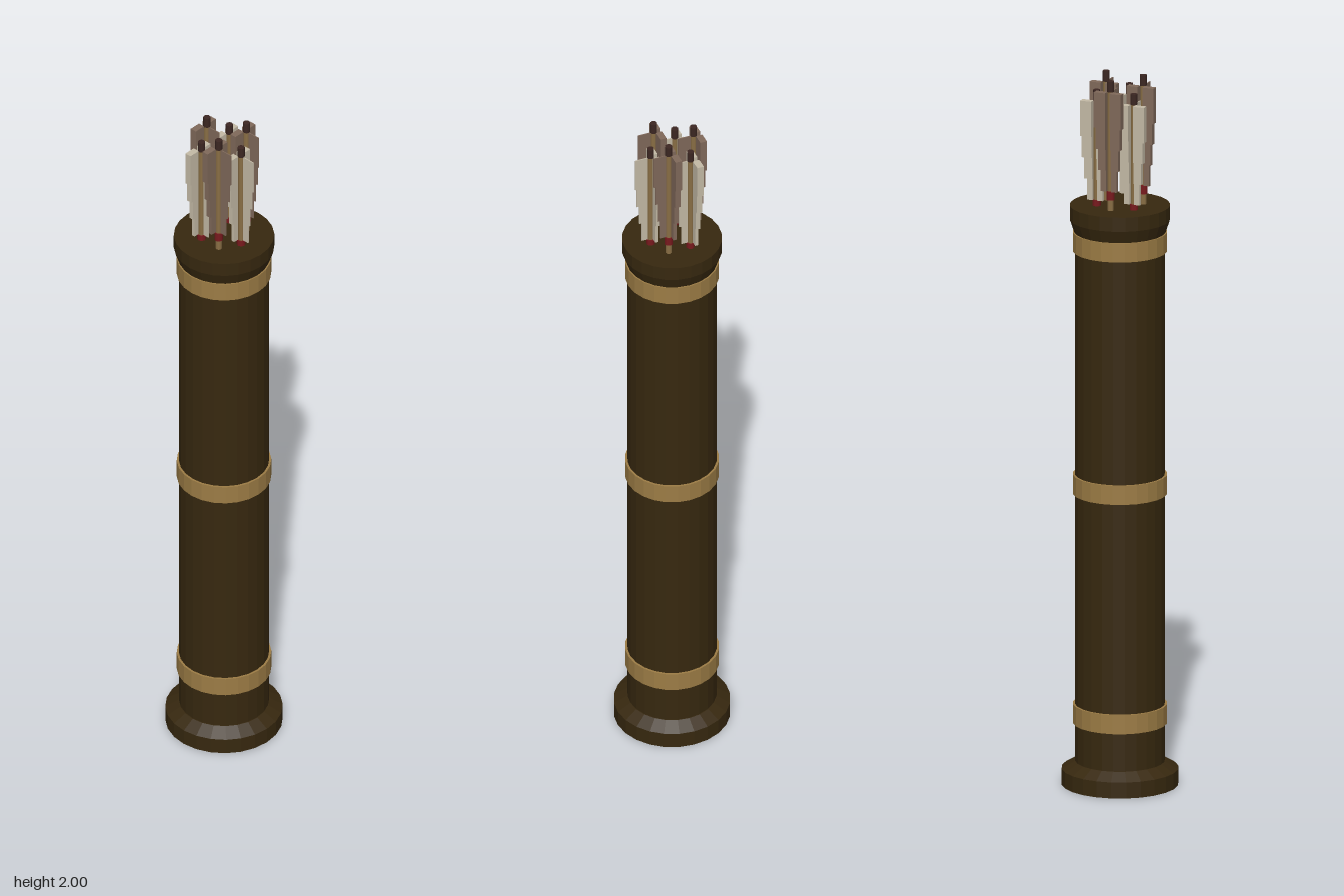
import * as THREE from 'three';

const mat = (name, color) => {
  const m = new THREE.MeshStandardMaterial({ color });
  m.name = name;
  return m;
};

export function createModel() {
  const leather = mat('dark leather', 0x37280f);
  const brass = mat('brass', 0x9c7c45);
  const wood = mat('shaft wood', 0x8a6f45);
  const paleFeather = mat('pale feather', 0xc4baa6);
  const brownFeather = mat('brown feather', 0x80695a);
  const thread = mat('red thread', 0x7a1a1e);
  const horn = mat('dark horn', 0x3c2722);
  for (const m of [leather, brass]) m.flatShading = true;

  const model = new THREE.Group();
  model.name = 'quiver';

  const add = (parent, name, geometry, material, x = 0, y = 0, z = 0) => {
    const mesh = new THREE.Mesh(geometry, material);
    mesh.name = name;
    mesh.position.set(x, y, z);
    parent.add(mesh);
    return mesh;
  };
  // Cylinder or cone section between two heights
  const drum = (parent, name, material, r0, r1, y0, y1, sides = 24) =>
    add(parent, name, new THREE.CylinderGeometry(r1, r0, y1 - y0, sides), material, 0, (y0 + y1) / 2, 0);

  // Tube, foot and rim
  drum(model, 'tube', leather, 0.123, 0.123, 0.03, 1.6);
  drum(model, 'foot', leather, 0.16, 0.16, 0, 0.045);
  drum(model, 'footBevel', leather, 0.16, 0.125, 0.045, 0.066);
  drum(model, 'rimBevel', leather, 0.125, 0.137, 1.56, 1.595);
  drum(model, 'rim', leather, 0.137, 0.137, 1.595, 1.635);

  // Brass bands
  for (const y of [0.2, 0.848, 1.533]) drum(model, 'band', brass, 0.129, 0.129, y - 0.027, y + 0.027);

  // Fletching: stacked plates, narrowing downwards, as [outer reach, bottom, top]
  const steps = [
    [0.046, 1.87, 1.97],
    [0.041, 1.81, 1.87],
    [0.034, 1.75, 1.81],
    [0.027, 1.69, 1.75],
  ];
  const inner = 0.008;

  // Ring of six arrows, alternately low and high
  for (let i = 0; i < 6; i++) {
    const angle = (i * Math.PI) / 3;
    const low = i % 2 === 0;
    const arrow = new THREE.Group();
    arrow.name = 'arrow';
    arrow.position.set(0.064 * Math.cos(angle), low ? -0.038 : 0, 0.064 * Math.sin(angle));
    model.add(arrow);

    drum(arrow, 'shaft', wood, 0.009, 0.009, 1.6, 1.975, 8);
    drum(arrow, 'binding', thread, 0.012, 0.012, 1.665, 1.69, 8);
    drum(arrow, 'nock', horn, 0.01, 0.01, 1.97, 2.0, 8);

    for (let k = 0; k < 3; k++) {
      const c = Math.cos((k * Math.PI * 2) / 3);
      const s = Math.sin((k * Math.PI * 2) / 3);
      for (const [outer, y0, y1] of steps) {
        const reach = outer - inner;
        const mid = (outer + inner) / 2;
        const plate = new THREE.BoxGeometry(
          Math.max(reach * Math.abs(c), 0.003), y1 - y0, Math.max(reach * Math.abs(s), 0.003));
        add(arrow, 'feather', plate, low ? paleFeather : brownFeather, mid * c, (y0 + y1) / 2, mid * s);
      }
    }
  }
  return model;
}
